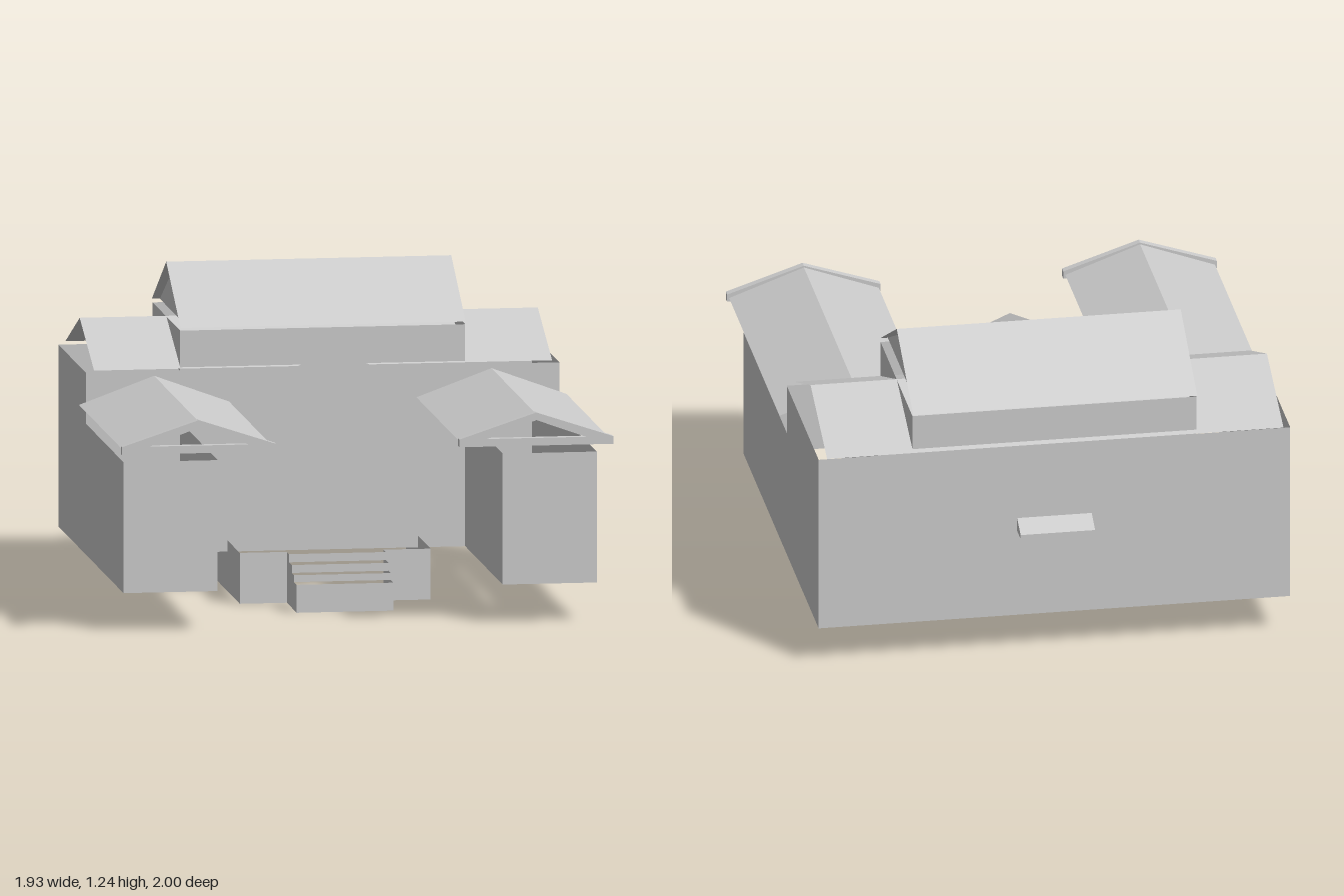
import * as THREE from 'three';

const mat = new THREE.MeshStandardMaterial({ color: 0xcccccc, flatShading: true, side: THREE.DoubleSide });

// Thin sheet mesh from a list of flat convex polygons
function sheet(name, polys) {
  const pos = [];
  for (const p of polys)
    for (let i = 1; i < p.length - 1; i++) pos.push(...p[0], ...p[i], ...p[i + 1]);
  const geo = new THREE.BufferGeometry();
  geo.setAttribute('position', new THREE.Float32BufferAttribute(pos, 3));
  geo.computeVertexNormals();
  const mesh = new THREE.Mesh(geo, mat);
  mesh.name = name;
  return mesh;
}

// Upright panels: wallX stands across x at a fixed z, wallZ runs along z at a fixed x
const wallX = (x0, x1, y0, y1, z) => [[x0, y0, z], [x1, y0, z], [x1, y1, z], [x0, y1, z]];
const wallZ = (x, y0, y1, z0, z1) => [[x, y0, z0], [x, y0, z1], [x, y1, z1], [x, y1, z0]];

// Two slopes with the ridge along x
function roofX(name, hx, eave, ridge, zf, zb) {
  const zm = (zf + zb) / 2;
  return sheet(name, [zf, zb].map((z, i) => {
    const s = i ? -1 : 1;
    return [[-hx * s, eave, z], [hx * s, eave, z], [hx * s, ridge, zm], [-hx * s, ridge, zm]];
  }));
}

export function createModel() {
  const g = new THREE.Group();
  g.name = 'courtyardHouse';
  const B = 0.155, WT = 0.67, MT = 0.87, X = 0.93, XI = 0.56, ZM = -0.19, ZB = -0.92, ZF = 0.8;

  // Main block walls
  g.add(sheet('mainWalls', [
    wallX(XI, -XI, B, MT, ZM).reverse(),
    wallX(X, -X, B, MT, ZB),
    ...[-1, 1].flatMap(s => [
      s > 0 ? wallZ(X, B, MT, ZM, ZB) : wallZ(-X, B, MT, ZB, ZM),
      wallX(s > 0 ? XI : -X, s > 0 ? X : -XI, WT, MT, ZM),
    ]),
  ]));

  for (const s of [-1, 1]) {
    const side = s > 0 ? 'left' : 'right';

    // Wing walls
    g.add(sheet(side + 'WingWalls', [
      s > 0 ? wallZ(X, B, WT, ZF, ZM) : wallZ(-X, B, WT, ZM, ZF),
      s > 0 ? wallZ(XI, B, WT, ZM, ZF) : wallZ(-XI, B, WT, ZF, ZM),
      s > 0 ? wallX(XI, X, B, WT, ZF) : wallX(-X, -XI, B, WT, ZF),
    ]));

    // Wing roof with the ridge along z
    const c = 0.663 * s, hw = 0.295;
    g.add(sheet(side + 'WingRoof', [
      [[c, 0.853, ZM], [c, 0.853, 0.97], [c + hw, 0.745, 0.97], [c + hw, 0.745, ZM]],
      [[c - hw, 0.745, ZM], [c - hw, 0.745, 0.97], [c, 0.853, 0.97], [c, 0.853, ZM]],
    ]));

    // Open triangular frame on the wing roof end
    const shape = new THREE.Shape([[-0.303, 0.73], [0.303, 0.73], [0.303, 0.76], [0, 0.86], [-0.303, 0.76]]
      .map(p => new THREE.Vector2(...p)));
    shape.holes.push(new THREE.Path([[-0.195, 0.76], [0, 0.83], [0.195, 0.76]]
      .map(p => new THREE.Vector2(...p))));
    const frame = new THREE.Mesh(new THREE.ExtrudeGeometry(shape, { depth: 0.03, bevelEnabled: false }), mat);
    frame.position.set(c, 0, 0.97);
    frame.name = side + 'WingPediment';
    g.add(frame);

    // Upper gable infill
    g.add(sheet(side + 'UpperGable', [
      [[0.53 * s, 1.04, -0.18 * 1], [0.53 * s, 1.04, -0.93], [0.53 * s, 1.222, -0.555]],
    ]));

    // Porch side walls
    g.add(sheet(side + 'PorchCheek', [
      wallX(s > 0 ? 0.19 : -0.375, s > 0 ? 0.375 : -0.19, 0, 0.2, 0.14),
      s > 0 ? wallZ(0.375, 0, 0.2, 0.14, -0.51) : wallZ(-0.375, 0, 0.2, -0.51, 0.14),
    ]));
  }

  // Lower roof, raised centre walls and upper roof
  g.add(roofX('lowerRoof', 0.9, 0.88, 1.03, -0.18, -0.94));
  g.add(sheet('upperWalls', [
    wallX(-XI, XI, MT, 1.028, ZM), wallX(XI, -XI, MT, 1.028, ZB),
    wallZ(XI, MT, 1.028, ZM, ZB), wallZ(-XI, MT, 1.028, ZB, ZM),
  ]));
  g.add(roofX('upperRoof', 0.56, 1.04, 1.243, -0.18, -0.94));

  // Entrance pediment
  g.add(sheet('entrancePediment', [[[-0.31, 0.85, 0.1], [0.31, 0.85, 0.1], [0, 0.985, 0.1]]]));

  // Open stairs: risers and stepped sides
  const zs = [0.4, 0.33, 0.27, 0.2, 0.14], ys = [0, 0.11, 0.137, 0.168, 0.2];
  const stairs = [];
  for (let i = 0; i < 4; i++) {
    stairs.push(wallX(-0.19, 0.19, ys[i], ys[i + 1], zs[i]));
    stairs.push(wallZ(0.19, 0, ys[i + 1], zs[i], zs[i + 1]));
    stairs.push(wallZ(-0.19, 0, ys[i + 1], zs[i + 1], zs[i]));
  }
  g.add(sheet('stairs', stairs));

  // Small hood on the back wall, open below
  const hx = 0.147;
  g.add(sheet('backHood', [
    [[hx, 0.565, ZB], [hx, 0.527, -1], [-hx, 0.527, -1], [-hx, 0.565, ZB]],
    wallX(hx, -hx, 0.51, 0.527, -1),
    [[hx, 0.51, ZB], [hx, 0.51, -1], [hx, 0.527, -1], [hx, 0.565, ZB]],
    [[-hx, 0.51, -1], [-hx, 0.51, ZB], [-hx, 0.565, ZB], [-hx, 0.527, -1]],
  ]));
  return g;
}
